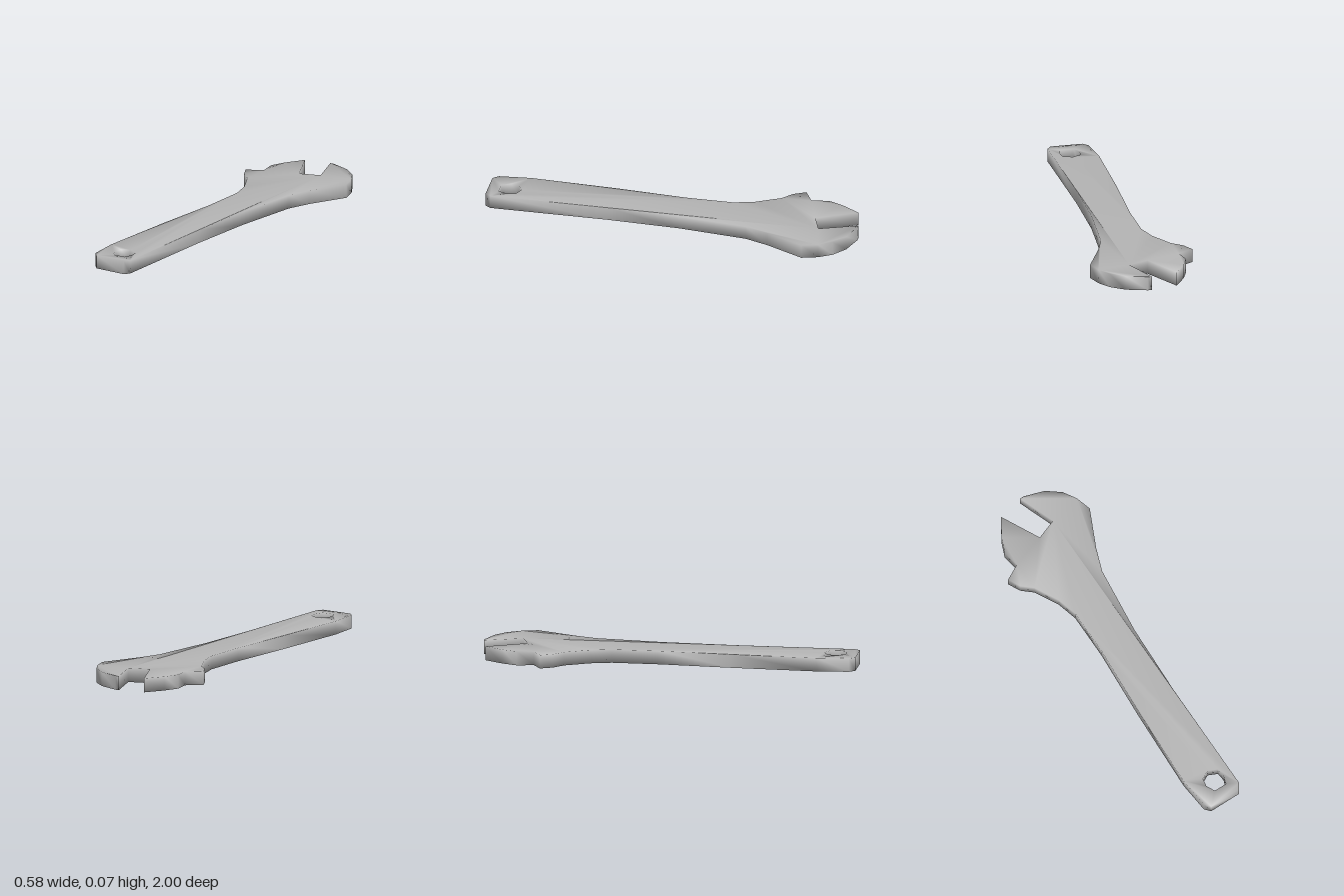
import * as THREE from 'three';
import { mergeVertices } from 'three/addons/utils/BufferGeometryUtils.js';

const HEIGHT = 0.075;
const BASE = 0.003;

// Turns [x, z] plan points into shape points that lie flat after rotation
const plan = (pts) => pts.map(([x, z]) => new THREE.Vector2(x, -z));

export function createModel() {
  const group = new THREE.Group();
  group.name = 'adjustableWrench';
  const steel = new THREE.MeshStandardMaterial({ color: 0xb4b4b4 });
  steel.name = 'steel grey';

  const outline = [
    // movable jaw and its shoulder
    [-0.02, -0.76], [-0.127, -0.97], [-0.19, -0.87], [-0.222, -0.79], [-0.205, -0.7],
    [-0.29, -0.655], [-0.257, -0.59], [-0.2, -0.54],
    // right edge of the handle
    [-0.13, -0.41], [-0.1, -0.3], [-0.1, -0.05], [-0.125, 0.34], [-0.143, 0.8],
    // rounded handle end
    [-0.127, 0.97], [-0.1, 1], [0.075, 1], [0.096, 0.97],
    // left edge of the handle
    [0.096, 0.34], [0.11, -0.05], [0.15, -0.42], [0.195, -0.545],
    // fixed jaw
    [0.29, -0.75], [0.265, -0.835], [0.222, -0.905], [0.148, -0.963],
    [0.037, -1], [0.014, -1], [0.09, -0.8],
  ];
  const hangHole = [
    [-0.005, 0.822], [0.045, 0.845], [0.05, 0.89], [0.035, 0.937],
    [-0.035, 0.937], [-0.058, 0.89], [-0.05, 0.845],
  ];

  const shape = new THREE.Shape(plan(outline));
  shape.holes.push(new THREE.Path(plan(hangHole)));
  let geometry = new THREE.ExtrudeGeometry(shape, { depth: HEIGHT - BASE, bevelEnabled: false });
  geometry.rotateX(-Math.PI / 2).translate(0, BASE, 0);

  // Underside of the jaws sits slightly lower than the handle
  const pos = geometry.attributes.position;
  for (let i = 0; i < pos.count; i++) {
    if (pos.getZ(i) < -0.68 && pos.getY(i) < HEIGHT / 2) pos.setY(i, 0);
  }

  // Share vertices so the shading flows softly over the edges
  geometry.deleteAttribute('normal');
  geometry.deleteAttribute('uv');
  geometry.clearGroups();
  geometry = mergeVertices(geometry, 1e-4);
  geometry.computeVertexNormals();

  const body = new THREE.Mesh(geometry, steel);
  body.name = 'wrenchBody';
  group.add(body);
  return group;
}
